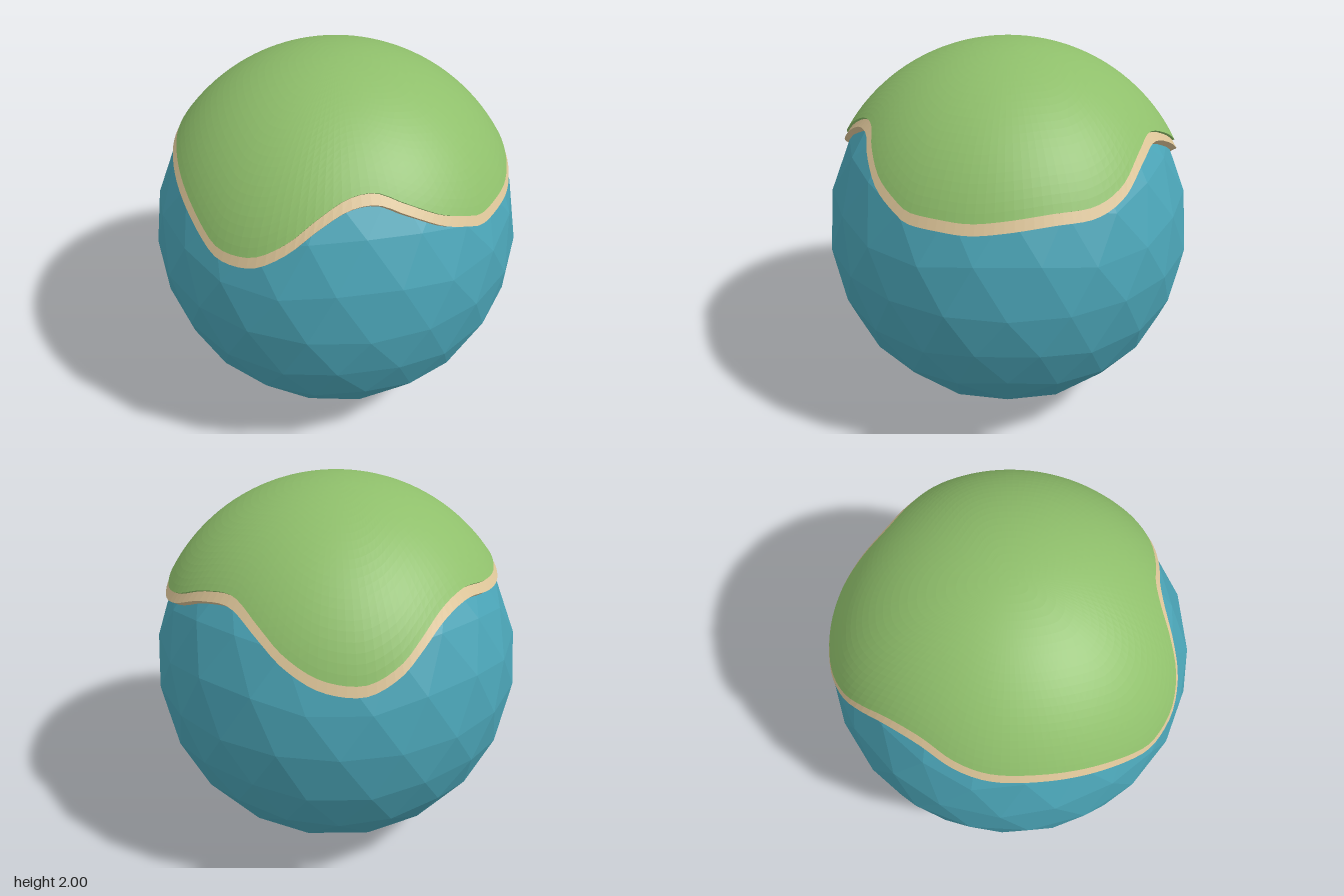
import * as THREE from 'three';

const CENTER_Y = 0.979;
const BALL_R = 0.976;
const SEGMENTS = 120;

// Coastline seen from above: [azimuth in degrees from +x towards +z, distance from the axis]
const COAST = [
  [-6, 0.911], [1, 0.895], [10.7, 0.863], [21.9, 0.807], [31.3, 0.762], [40.7, 0.768],
  [51.6, 0.826], [60.3, 0.889], [70, 0.931], [81.7, 0.939], [90, 0.919], [105, 0.876],
  [121, 0.848], [137.9, 0.84], [150.5, 0.824], [164.6, 0.798], [178.7, 0.822], [190, 0.878],
  [198, 0.92], [208.6, 0.946], [221.5, 0.936], [232.7, 0.899], [242.7, 0.845], [257, 0.787],
  [270, 0.809], [284.3, 0.867], [296.4, 0.893], [310.6, 0.893], [324.8, 0.903], [337.6, 0.912],
];

function flatGeometry(points) {
  const geometry = new THREE.BufferGeometry().setFromPoints(points);
  geometry.computeVertexNormals();
  return geometry;
}

// Faceted ball: pole-up icosahedron whose edges are halved twice onto the sphere
function ballGeometry() {
  const ring = (y, offset) => Array.from({ length: 5 }, (_, k) => {
    const a = offset + (k * Math.PI * 2) / 5;
    const r = Math.sqrt(1 - y * y);
    return new THREE.Vector3(r * Math.cos(a), y, r * Math.sin(a));
  });
  const top = new THREE.Vector3(0, 1, 0);
  const bottom = new THREE.Vector3(0, -1, 0);
  const upper = ring(1 / Math.sqrt(5), 0);
  const lower = ring(-1 / Math.sqrt(5), Math.PI / 5);
  const points = [];
  const split = (a, b, c, depth) => {
    if (depth === 0) {
      points.push(...[a, b, c].map((p) => p.clone().multiplyScalar(BALL_R)));
      return;
    }
    const mid = (p, q) => p.clone().add(q).normalize();
    const ab = mid(a, b), bc = mid(b, c), ca = mid(c, a);
    split(a, ab, ca, depth - 1);
    split(ab, b, bc, depth - 1);
    split(ca, bc, c, depth - 1);
    split(ab, bc, ca, depth - 1);
  };
  for (let k = 0; k < 5; k++) {
    const n = (k + 1) % 5;
    split(top, upper[n], upper[k], 2);
    split(upper[k], upper[n], lower[k], 2);
    split(upper[n], lower[n], lower[k], 2);
    split(bottom, lower[k], lower[n], 2);
  }
  return flatGeometry(points);
}

// Skin over rows of closed loops, ordered from the top of the outside downwards
function skinGeometry(rows) {
  const points = [];
  for (let i = 0; i < rows.length - 1; i++) {
    for (let j = 0; j < SEGMENTS; j++) {
      const n = (j + 1) % SEGMENTS;
      const a = rows[i][j], d = rows[i][n], b = rows[i + 1][j], c = rows[i + 1][n];
      if (a.distanceTo(d) > 1e-6) points.push(a, d, c);
      points.push(a, c, b);
    }
  }
  return flatGeometry(points);
}

export function createModel() {
  const material = (name, color, side) => {
    const m = new THREE.MeshStandardMaterial({ color, flatShading: true, side });
    m.name = name;
    return m;
  };
  const water = material('waterBlue', 0x4aa3b5, THREE.FrontSide);
  const grass = material('grassGreen', 0x8fbf6b, THREE.DoubleSide);
  const sand = material('sandBeige', 0xdbc397, THREE.DoubleSide);

  // Smooth closed coastline, sampled as azimuth and angle from the pole
  const curve = new THREE.CatmullRomCurve3(COAST.map(([deg, r]) => {
    const a = THREE.MathUtils.degToRad(deg);
    return new THREE.Vector3(r * Math.cos(a), 0, r * Math.sin(a));
  }), true);
  const shore = curve.getSpacedPoints(SEGMENTS).slice(0, SEGMENTS).map((p) => ({
    azimuth: Math.atan2(p.z, p.x),
    polar: Math.asin(Math.hypot(p.x, p.z) / 1.003),
  }));
  const BAND = 0.055;
  const loop = (radius, polarOf) => shore.map(({ azimuth, polar }) => {
    const t = polarOf(polar);
    return new THREE.Vector3(
      radius * Math.sin(t) * Math.cos(azimuth),
      radius * Math.cos(t),
      radius * Math.sin(t) * Math.sin(azimuth),
    );
  });

  // Grass dome, thinning slightly to its edge, with a small lip turned in
  const capRows = [];
  const RINGS = 24;
  for (let i = 0; i <= RINGS; i++) {
    const t = i / RINGS;
    capRows.push(loop(1.021 - 0.008 * t ** 3, (polar) => (polar - BAND) * t));
  }
  capRows.push(loop(0.98, (polar) => polar - BAND));

  // Sand band below the grass, closed underneath
  const beachRows = [
    loop(1.001, (polar) => polar - BAND - 0.01),
    loop(1.003, (polar) => polar),
    loop(0.95, (polar) => polar),
  ];

  const group = new THREE.Group();
  group.name = 'globe';
  const add = (name, geometry, mat) => {
    const mesh = new THREE.Mesh(geometry, mat);
    mesh.name = name;
    mesh.position.y = CENTER_Y;
    group.add(mesh);
  };
  add('waterBall', ballGeometry(), water);
  add('grassCap', skinGeometry(capRows), grass);
  add('sandShore', skinGeometry(beachRows), sand);
  return group;
}
